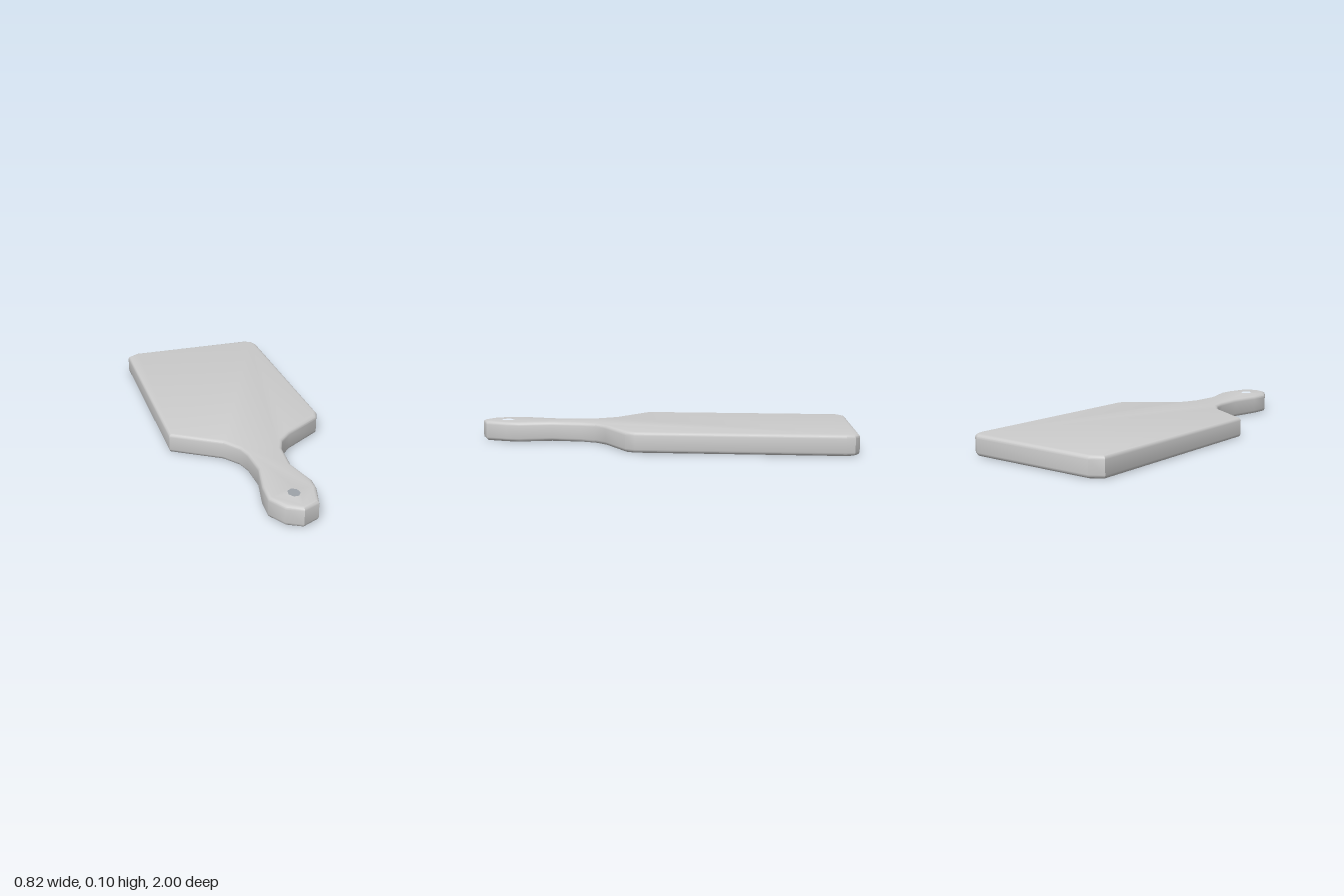
import * as THREE from 'three';
import { toCreasedNormals } from 'three/addons/utils/BufferGeometryUtils.js';

const THICKNESS = 0.105;
const BEVEL = 0.018;

// Board outline as [x, z], running from the back edge down each side to the grip end
const leftSide = [
  [0.355, -1], [0.395, -0.975], [0.412, -0.93], [0.412, 0.11], [0.39, 0.16],
  [0.19, 0.29], [0.125, 0.36], [0.095, 0.44], [0.082, 0.6],
  [0.125, 0.77], [0.12, 0.84], [0.085, 0.96], [0, 1],
];
const rightSide = [
  [-0.35, -1], [-0.412, -0.96], [-0.412, 0.135], [-0.17, 0.29],
  [-0.11, 0.375], [-0.09, 0.45], [-0.085, 0.6],
  [-0.12, 0.76], [-0.127, 0.87], [-0.075, 0.96],
];

export function createModel() {
  const group = new THREE.Group();
  group.name = 'cuttingBoard';

  // Shape y is -z, so the shape lies flat after rotation
  const outline = [...leftSide, ...rightSide.reverse()].map(([x, z]) => new THREE.Vector2(x, -z));
  const shape = new THREE.Shape(outline);

  // Hanging hole through the grip end
  const hole = [];
  for (let i = 0; i < 7; i++) {
    const a = Math.PI / 2 - (i / 7) * Math.PI * 2;
    hole.push(new THREE.Vector2(Math.cos(a) * 0.05, -0.86 + Math.sin(a) * 0.057));
  }
  shape.holes.push(new THREE.Path(hole));

  // Slab with softly rounded rims
  const slab = new THREE.ExtrudeGeometry(shape, {
    depth: THICKNESS - 2 * BEVEL,
    bevelEnabled: true,
    bevelThickness: BEVEL,
    bevelSize: BEVEL,
    bevelOffset: -BEVEL,
    bevelSegments: 3,
    steps: 1,
  });
  slab.translate(0, 0, BEVEL);
  slab.rotateX(-Math.PI / 2);

  const board = new THREE.Mesh(
    toCreasedNormals(slab, 0.6),
    new THREE.MeshStandardMaterial({ color: 0xcccccc }),
  );
  board.name = 'boardWithHandle';
  group.add(board);
  return group;
}
